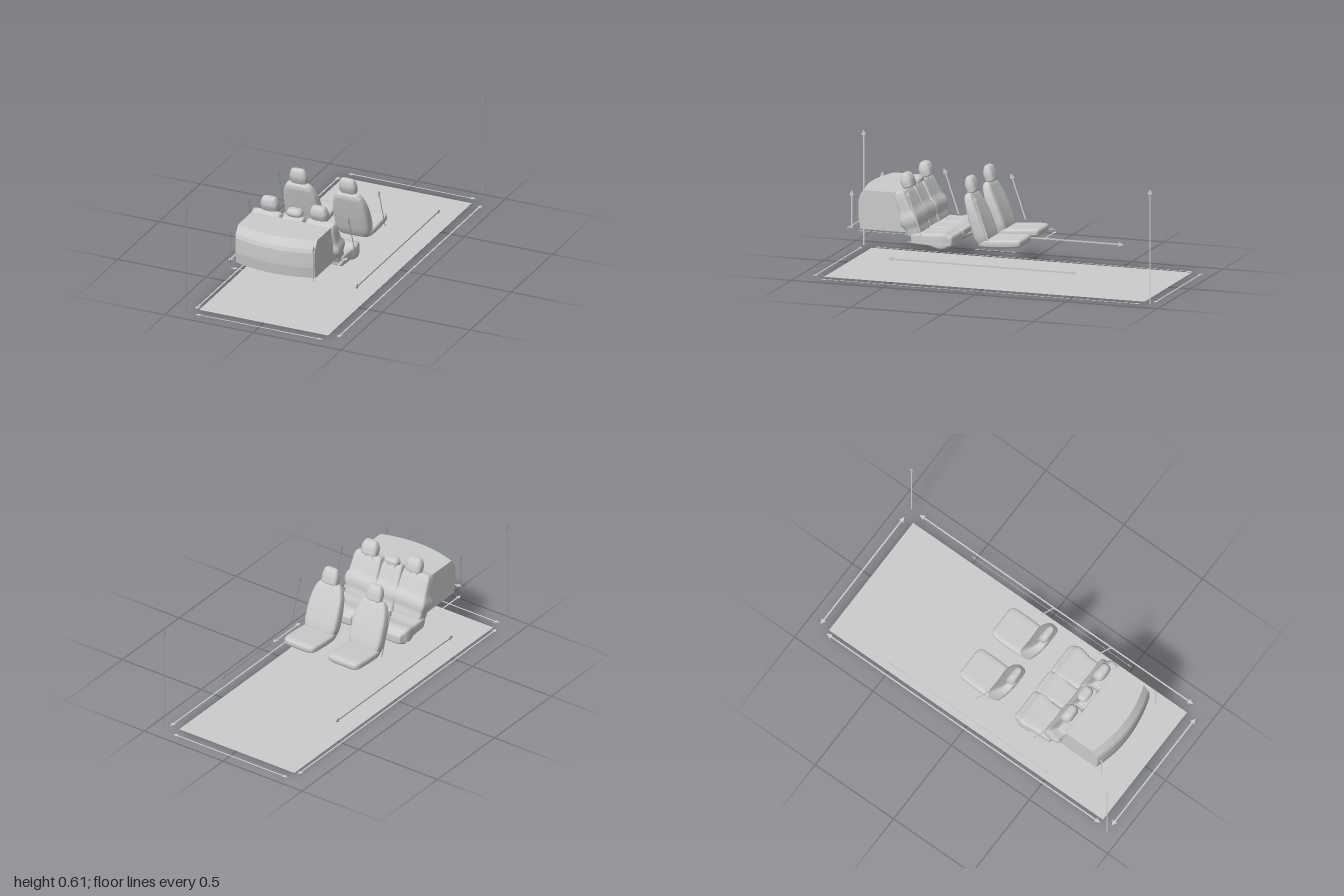
import * as THREE from 'three';

const grey = new THREE.MeshStandardMaterial({ color: 0xcccccc });
const greyThin = new THREE.MeshStandardMaterial({ color: 0xcccccc, side: THREE.DoubleSide });

function add(parent, name, geometry, material = grey) {
  const mesh = new THREE.Mesh(geometry, material);
  mesh.name = name;
  parent.add(mesh);
  return mesh;
}

// Padded shape: rounded sections [z, y, halfWidth, halfThickness] swept along a path in the yz plane.
// "dish" hollows the padded face between the side bolsters.
function padding(sections, { dish = 0, power = 4, steps = 28, sides = 40 } = {}) {
  const path = new THREE.CatmullRomCurve3(sections.map(s => new THREE.Vector3(0, s[1], s[0])), false, 'centripetal');
  const size = new THREE.CatmullRomCurve3(sections.map(s => new THREE.Vector3(s[2], s[3], 0)), false, 'centripetal');
  const pos = [], index = [];
  const bend = v => Math.sign(v) * Math.abs(v) ** (2 / power);
  for (let i = 0; i <= steps; i++) {
    const p = path.getPoint(i / steps), t = path.getTangent(i / steps), s = size.getPoint(i / steps);
    for (let j = 0; j < sides; j++) {
      const a = j / sides * Math.PI * 2;
      const u = bend(Math.cos(a));
      let n = bend(Math.sin(a)) * s.y;
      if (n > 0) n *= 1 - dish * (1 - u * u);
      pos.push(u * s.x, p.y + t.z * n, p.z - t.y * n);
      if (i < steps) {
        const k = i * sides + j, m = i * sides + (j + 1) % sides;
        index.push(k, m, k + sides, m, m + sides, k + sides);
      }
    }
  }
  // End caps
  const last = steps * sides, c = last + sides;
  const p0 = path.getPoint(0), p1 = path.getPoint(1);
  pos.push(0, p0.y, p0.z, 0, p1.y, p1.z);
  for (let j = 0; j < sides; j++) {
    const k = (j + 1) % sides;
    index.push(c, k, j, c + 1, last + j, last + k);
  }
  const g = new THREE.BufferGeometry();
  g.setAttribute('position', new THREE.Float32BufferAttribute(pos, 3));
  g.setIndex(index);
  g.computeVertexNormals();
  return g;
}

// Headrest on two posts
function headrest(parent, name, x, z, y, w, h, t) {
  const lean = h * 0.15;
  add(parent, name, padding([
    [z - lean, y, w * 0.8, t * 0.6], [z - lean * 0.9, y + h * 0.06, w * 0.97, t * 0.9],
    [z, y + h * 0.45, w, t], [z + lean * 0.5, y + h * 0.8, w * 0.86, t * 0.8],
    [z + lean * 0.6, y + h * 0.95, w * 0.72, t * 0.55], [z + lean * 0.6, y + h, w * 0.5, t * 0.25],
  ], { power: 3 })).position.x = x;
  for (const s of [-1, 1]) {
    const post = add(parent, name + 'Post', new THREE.CylinderGeometry(0.004, 0.004, 0.04, 10));
    post.position.set(x + s * w * 0.45, y, z - lean);
    post.rotation.x = 0.3;
  }
}

function frontSeat(x) {
  const seat = new THREE.Group();
  seat.name = 'frontSeat';
  add(seat, 'frontCushion', padding([
    [-0.153, 0.217, 0.065, 0.008], [-0.147, 0.217, 0.086, 0.02], [-0.12, 0.216, 0.096, 0.025],
    [-0.04, 0.21, 0.098, 0.026], [0.03, 0.206, 0.096, 0.025], [0.075, 0.204, 0.085, 0.02], [0.085, 0.204, 0.06, 0.01],
  ], { dish: 0.2 })).position.x = x;
  add(seat, 'frontBackrest', padding([
    [0.05, 0.19, 0.06, 0.015], [0.053, 0.2, 0.085, 0.034], [0.07, 0.25, 0.098, 0.042],
    [0.095, 0.32, 0.098, 0.04], [0.122, 0.39, 0.09, 0.033], [0.14, 0.435, 0.074, 0.027],
    [0.147, 0.452, 0.058, 0.019], [0.149, 0.458, 0.04, 0.008],
  ], { dish: 0.25 })).position.x = x;
  headrest(seat, 'frontHeadrest', x, 0.143, 0.457, 0.048, 0.083, 0.028);
  return seat;
}

function rearBench() {
  const bench = new THREE.Group();
  bench.name = 'rearBench';
  const cushion = (w, y, t) => padding([
    [0.215, y, w * 0.84, t * 0.5], [0.22, y, w * 0.94, t * 0.8], [0.24, y, w, t], [0.33, y, w, t],
    [0.42, y + 0.002, w * 0.98, t * 0.95], [0.44, y, w * 0.92, t * 0.6],
  ], { power: 6, dish: 0.1 });
  const backrest = (w, t) => padding([
    [0.42, 0.215, w * 0.88, t * 0.5], [0.424, 0.225, w * 0.96, t * 0.9], [0.44, 0.265, w, t],
    [0.47, 0.34, w, t], [0.5, 0.415, w * 0.95, t * 0.85], [0.51, 0.44, w * 0.88, t * 0.7], [0.512, 0.447, w * 0.8, t * 0.45],
  ], { power: 6, dish: 0.15 });
  for (const s of [-1, 1]) {
    add(bench, 'rearCushion', cushion(0.091, 0.205, 0.035)).position.x = s * 0.157;
    add(bench, 'rearBackrest', backrest(0.089, 0.04)).position.x = s * 0.153;
    headrest(bench, 'rearHeadrest', s * 0.14, 0.492, 0.457, 0.048, 0.075, 0.033);
  }
  add(bench, 'middleCushion', cushion(0.067, 0.217, 0.022));
  add(bench, 'middleBackrest', backrest(0.065, 0.036));
  headrest(bench, 'middleHeadrest', 0, 0.49, 0.452, 0.043, 0.035, 0.03);
  return bench;
}

// Luggage volume: front follows the backrests, rear face is bowed with a sloping upper edge
function luggageBlock() {
  const g = new THREE.BoxGeometry(0.45, 0.205, 1, 24, 10, 1).toNonIndexed();
  const p = g.attributes.position;
  for (let i = 0; i < p.count; i++) {
    const x = p.getX(i), y = p.getY(i) + 0.3375;
    const rear = 0.772 - 0.04 * (x / 0.225) ** 2 - 0.035 * Math.max(0, (y - 0.39) / 0.05) - 0.01 * Math.max(0, (0.3 - y) / 0.06);
    const front = 0.445 + (y - 0.235) * 0.42;
    p.setXYZ(i, x, y, p.getZ(i) > 0 ? rear : front);
  }
  g.computeVertexNormals();
  return g;
}

// Flat dimension arrow from a to b, lying in the plane with the given normal
function arrow(parent, name, a, b, normal, bothEnds = true) {
  const from = new THREE.Vector3(...a), to = new THREE.Vector3(...b);
  const len = from.distanceTo(to), r = 0.004, h = 0.03, w = 0.014;
  const half = bothEnds
    ? [[0, 0], [h, w], [h, r], [len - h, r], [len - h, w], [len, 0]]
    : [[0, r], [len - h, r], [len - h, w], [len, 0]];
  const back = half.slice(bothEnds ? 1 : 0, -1).reverse().map(([x, y]) => [x, -y]);
  const shape = new THREE.Shape([...half, ...back].map(q => new THREE.Vector2(...q)));
  const dir = to.clone().sub(from).normalize(), n = new THREE.Vector3(...normal);
  const m = new THREE.Matrix4().makeBasis(dir, n.clone().cross(dir), n).setPosition(from);
  add(parent, name, new THREE.ShapeGeometry(shape).applyMatrix4(m), greyThin);
}

function dimensionArrows() {
  const g = new THREE.Group();
  g.name = 'dimensionArrows';
  const up = [0, 1, 0], side = [1, 0, 0];
  // Overall size
  for (const z of [-0.935, 0.925]) arrow(g, 'overallWidthArrow', [-0.365, 0, z], [0.365, 0, z], up);
  for (const x of [-0.387, 0.42]) arrow(g, 'overallLengthArrow', [x, 0, -0.88], [x, 0, 0.87], up);
  arrow(g, 'overallHeightArrow', [-0.41, 0, 0.93], [-0.41, 0.61, 0.93], side, false);
  arrow(g, 'overallHeightArrow', [0.42, 0, -0.93], [0.42, 0.61, -0.93], side, false);
  // Seats and luggage space
  for (const z of [-0.18, 0.185]) arrow(g, 'seatWidthArrow', [-0.24, 0.19, z], [-0.045, 0.19, z], up);
  arrow(g, 'luggageWidthArrow', [-0.225, 0.235, 0.79], [0.225, 0.235, 0.79], up);
  for (const s of [-1, 1]) {
    const x = s * 0.285;
    arrow(g, 'frontCushionArrow', [s * 0.29, 0.19, -0.16], [s * 0.29, 0.19, 0.08], up);
    arrow(g, 'rearCushionArrow', [x, 0.2, 0.205], [x, 0.2, 0.445], up);
    arrow(g, 'luggageLengthArrow', [s * 0.267, 0.235, 0.43], [s * 0.267, 0.235, 0.72], up);
    arrow(g, 'luggageHeightArrow', [s * 0.235, 0.235, 0.765], [s * 0.235, 0.44, 0.765], side, false);
    arrow(g, 'wheelbaseArrow', [s * 0.36, 0.12, -0.51], [s * 0.36, 0.12, 0.525], side);
    for (const z of [0, 0.365]) arrow(g, 'backrestArrow', [x, 0.23, z], [x, 0.47, z + 0.083], side, false);
  }
  return g;
}

export function createModel() {
  const model = new THREE.Group();
  model.name = 'carInteriorLayout';
  const floor = new THREE.PlaneGeometry(0.73, 1.75).rotateX(-Math.PI / 2);
  add(model, 'floor', floor, greyThin).position.z = -0.005;
  for (const s of [-1, 1]) model.add(frontSeat(s * 0.14));
  model.add(rearBench());
  add(model, 'luggageBlock', luggageBlock());
  model.add(dimensionArrows());
  return model;
}
